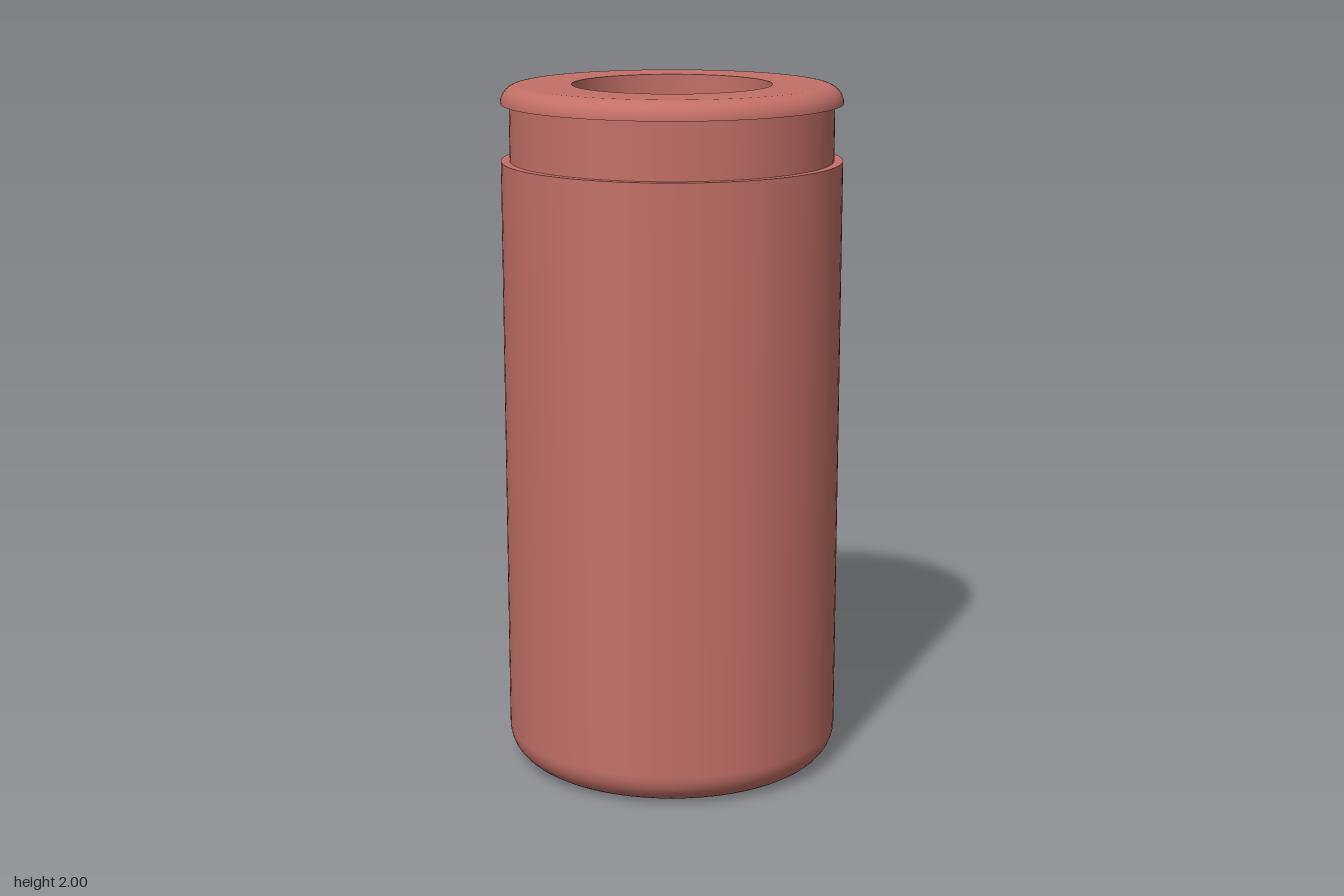
import * as THREE from 'three';

const SEGMENTS = 96;

// Quarter arc in the profile plane, from angle a0 to a1 (degrees)
function arc(cx, cy, r, a0, a1, steps = 10) {
  return Array.from({ length: steps + 1 }, (_, i) => {
    const a = THREE.MathUtils.degToRad(a0 + ((a1 - a0) * i) / steps);
    return [cx + r * Math.cos(a), cy + r * Math.sin(a)];
  });
}

export function createModel() {
  const group = new THREE.Group();
  const clay = new THREE.MeshStandardMaterial({ color: 0xc27066 });
  clay.name = 'terracotta red';

  const R = 0.488;      // body and lip
  const NECK = 0.463;   // recessed neck
  const BORE = 0.285;   // central hole
  const FLOOR = 0.2;    // bottom of the hole
  const SHOULDER = 1.785;
  const LIP = 1.948;
  const round = 0.095;
  const lipRound = 2 - LIP;

  // Each profile is one smooth surface; breaks between them are sharp edges
  const surfaces = {
    base: [[0, 0], [R - round, 0]],
    body: [...arc(R - round, round, round, -90, 0), [R, SHOULDER]],
    shoulder: [[R, SHOULDER], [NECK, SHOULDER]],
    neck: [[NECK, SHOULDER], [NECK, LIP]],
    lipUnderside: [[NECK, LIP], [R, LIP]],
    lipEdge: arc(R - lipRound, LIP, lipRound, 0, 90),
    rim: [[R - lipRound, 2], [BORE, 2]],
    boreWall: [[BORE, 2], [BORE, FLOOR]],
    boreFloor: [[BORE, FLOOR], [0, FLOOR]],
  };

  for (const [name, profile] of Object.entries(surfaces)) {
    const points = profile.map(([x, y]) => new THREE.Vector2(x, y));
    const mesh = new THREE.Mesh(new THREE.LatheGeometry(points, SEGMENTS), clay);
    mesh.name = name;
    group.add(mesh);
  }
  return group;
}
